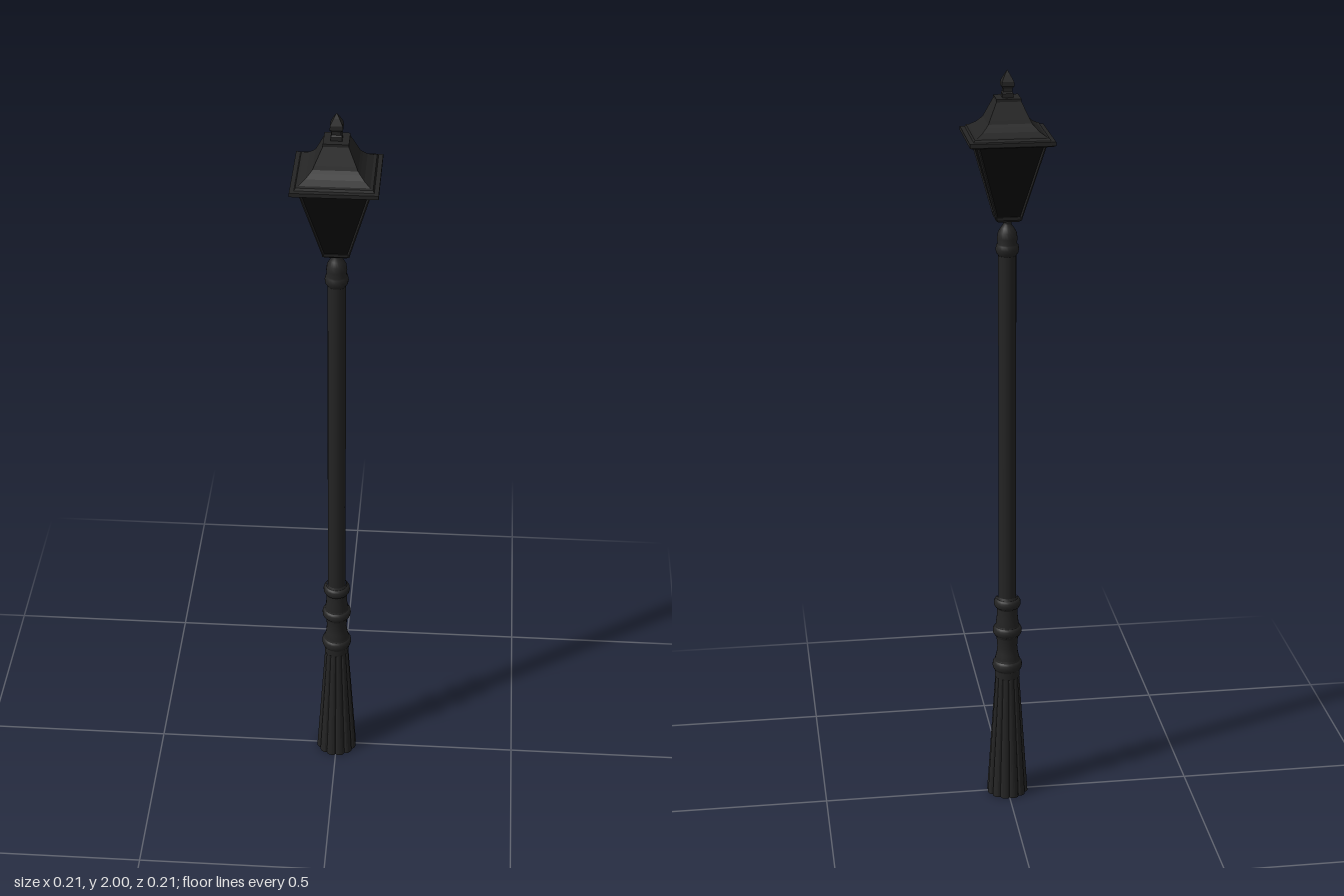
import * as THREE from 'three';

const metal = new THREE.MeshStandardMaterial({ color: 0x242424 });
const metalFlat = new THREE.MeshStandardMaterial({ color: 0x242424, flatShading: true, side: THREE.DoubleSide });
const pane = new THREE.MeshStandardMaterial({ color: 0x0a0a0a, flatShading: true, side: THREE.DoubleSide });

const toPoints = (profile) => profile.map(([r, y]) => new THREE.Vector2(r, y));

// Round turned part; profile is [radius, height] from bottom to top
function turned(name, profile, sides = 20) {
  const mesh = new THREE.Mesh(new THREE.LatheGeometry(toPoints(profile), sides), metal);
  mesh.name = name;
  return mesh;
}

// Square stepped part; profile is [half width, height] from bottom to top
function square(name, profile, material = metalFlat) {
  const points = toPoints(profile.map(([w, y]) => [w * Math.SQRT2, y]));
  const mesh = new THREE.Mesh(new THREE.LatheGeometry(points, 4, Math.PI / 4), material);
  mesh.name = name;
  return mesh;
}

// Rounded moulding ring with small fillets above and below
function ring(name, y, radius, height, neck) {
  const profile = [[neck, y - height * 0.75], [neck + 0.003, y - height / 2]];
  for (let i = 0; i <= 6; i++) {
    const a = (i / 6 - 0.5) * Math.PI;
    profile.push([radius - 0.007 + 0.007 * Math.cos(a), y + Math.sin(a) * height / 2]);
  }
  profile.push([neck + 0.003, y + height / 2], [neck, y + height * 0.75]);
  return turned(name, profile);
}

// Tapered foot whose radius dips at every flute
function flutedFoot() {
  const flutes = 12, perFlute = 6, height = 0.36;
  const geo = new THREE.CylinderGeometry(0.032, 0.056, height, flutes * perFlute, 1);
  const pos = geo.attributes.position;
  for (let i = 0; i < pos.count; i++) {
    const x = pos.getX(i), z = pos.getZ(i);
    const groove = Math.abs(Math.sin(Math.atan2(x, z) * flutes / 2));
    const k = 0.89 + 0.11 * Math.sqrt(groove);
    pos.setX(i, x * k);
    pos.setZ(i, z * k);
  }
  geo.translate(0, height / 2, 0);
  const mesh = new THREE.Mesh(geo, metalFlat);
  mesh.name = 'flutedFoot';
  return mesh;
}

// Straight square bar between two points
function bar(name, from, to, size) {
  const a = new THREE.Vector3(...from), b = new THREE.Vector3(...to);
  const mesh = new THREE.Mesh(new THREE.BoxGeometry(size, size, a.distanceTo(b)), metalFlat);
  mesh.position.copy(a).add(b).multiplyScalar(0.5);
  mesh.lookAt(b);
  mesh.name = name;
  return mesh;
}

function createPost() {
  const post = new THREE.Group();
  post.name = 'post';
  post.add(flutedFoot());

  // Waisted lower column between the mouldings
  post.add(turned('lowerColumn', [
    [0.033, 0.35], [0.034, 0.37], [0.034, 0.40], [0.029, 0.42], [0.027, 0.44],
    [0.029, 0.465], [0.032, 0.48], [0.032, 0.50], [0.029, 0.52], [0.027, 0.55], [0.027, 0.58],
  ]));
  post.add(ring('lowerRing', 0.385, 0.04, 0.028, 0.032));
  post.add(ring('middleRing', 0.487, 0.039, 0.026, 0.03));
  post.add(ring('upperRing', 0.568, 0.036, 0.026, 0.026));

  post.add(turned('shaft', [[0.024, 0.57], [0.023, 1.56]], 16));

  // Collar narrowing to the lantern neck
  post.add(turned('collar', [
    [0.023, 1.53], [0.028, 1.537], [0.030, 1.547], [0.028, 1.557], [0.025, 1.56],
    [0.026, 1.575], [0.024, 1.59], [0.017, 1.602], [0.011, 1.61], [0.011, 1.616],
    [0.018, 1.625], [0, 1.628],
  ]));
  return post;
}

function createLantern() {
  const lantern = new THREE.Group();
  lantern.name = 'lantern';
  const low = 0.031, high = 0.085, y0 = 1.63, y1 = 1.83;

  lantern.add(square('lanternFloor', [
    [0, 1.622], [0.026, 1.622], [0.033, 1.628], [0.034, 1.636], [0, 1.636],
  ]));
  lantern.add(square('glassPanes', [[low - 0.001, y0], [high - 0.001, y1]], pane));

  // Corner bars and top rails of the frame
  for (let i = 0; i < 4; i++) {
    const side = new THREE.Group();
    side.name = 'frameSide';
    side.rotation.y = i * Math.PI / 2;
    side.add(bar('cornerBar', [low - 0.001, y0, low - 0.001], [high - 0.001, y1, high - 0.001], 0.005));
    side.add(bar('topRail', [-high, y1 - 0.004, high - 0.002], [high, y1 - 0.004, high - 0.002], 0.006));
    lantern.add(side);
  }

  // Stepped, flaring roof with flat cap
  lantern.add(square('roof', [
    [0, 1.826], [0.098, 1.826], [0.106, 1.83], [0.106, 1.84], [0.095, 1.841], [0.092, 1.847],
    [0.085, 1.849], [0.07, 1.859], [0.06, 1.869], [0.054, 1.876], [0.05, 1.885],
    [0.031, 1.926], [0.031, 1.933], [0, 1.933],
  ]));
  lantern.add(square('finial', [
    [0.014, 1.93], [0.014, 1.943], [0.011, 1.947], [0.011, 1.955],
    [0.016, 1.961], [0.015, 1.972], [0.007, 1.988], [0, 2],
  ]));
  return lantern;
}

export function createModel() {
  const model = new THREE.Group();
  model.name = 'streetLamp';
  model.add(createPost(), createLantern());
  return model;
}
